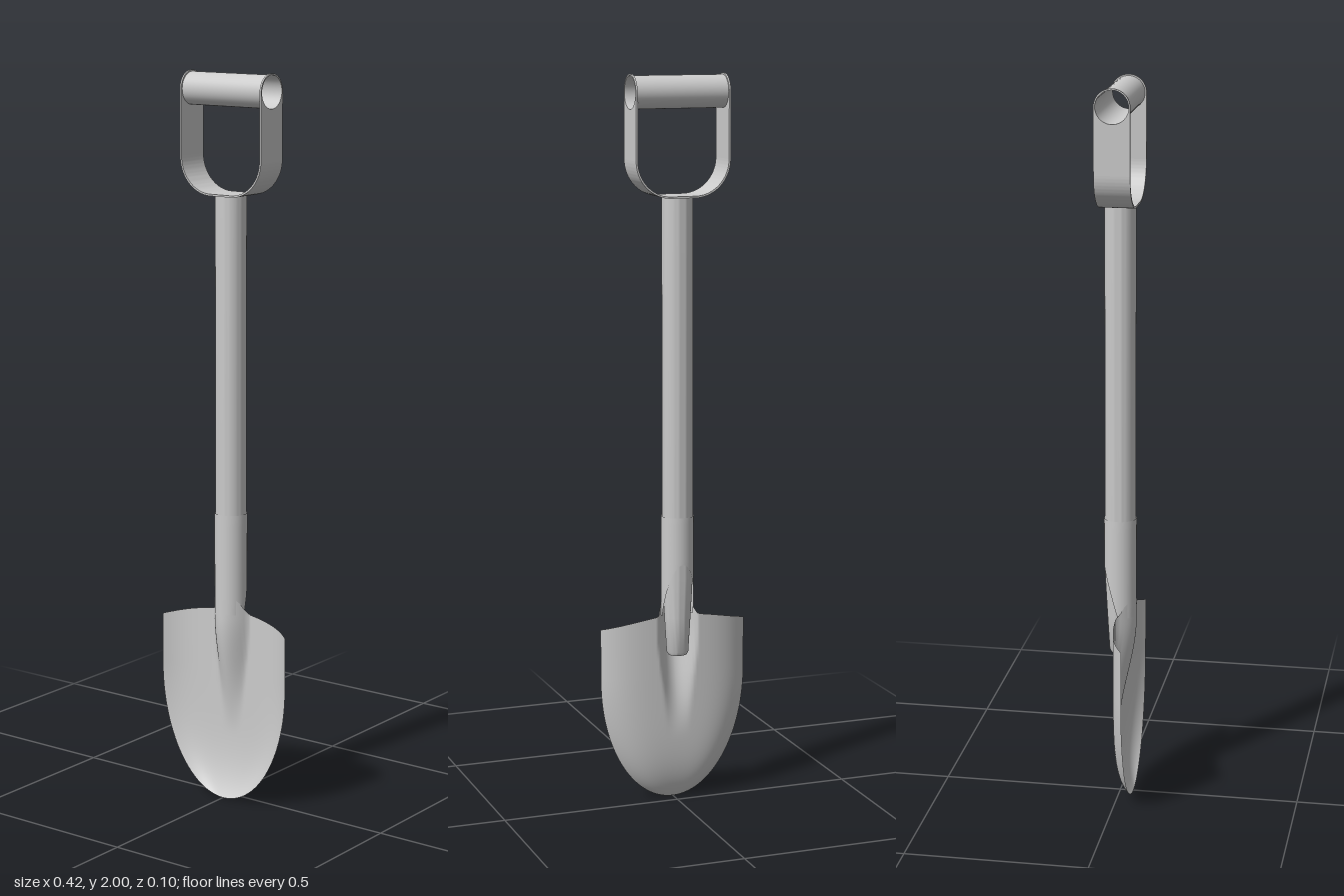
import * as THREE from 'three';
import { toCreasedNormals } from 'three/addons/utils/BufferGeometryUtils.js';

const grey = new THREE.MeshStandardMaterial({ color: 0xcccccc });
const thin = new THREE.MeshStandardMaterial({ color: 0xcccccc, side: THREE.DoubleSide });
const { smoothstep, lerp, clamp } = THREE.MathUtils;

const GRIP_Y = 1.952, STRAP_R = 0.048, STRAP_X = 0.133, STRAP_T = 0.005;
const BEND_R = 0.1, STRAP_BOTTOM = 1.675;

function add(group, name, geometry, material = grey) {
  const mesh = new THREE.Mesh(geometry, material);
  mesh.name = name;
  group.add(mesh);
  return mesh;
}

// Flat strap side: rounded top with a hole for the grip
function strapSide() {
  const s = new THREE.Shape();
  s.moveTo(-STRAP_R, STRAP_BOTTOM + BEND_R);
  s.lineTo(STRAP_R, STRAP_BOTTOM + BEND_R);
  s.lineTo(STRAP_R, GRIP_Y);
  s.absarc(0, GRIP_Y, STRAP_R, 0, Math.PI, false);
  s.closePath();
  const hole = new THREE.Path();
  hole.absarc(0, GRIP_Y, 0.044, 0, Math.PI * 2, true);
  s.holes.push(hole);
  const g = new THREE.ExtrudeGeometry(s, { depth: STRAP_T, bevelEnabled: false, curveSegments: 24 });
  g.translate(0, 0, -STRAP_T / 2).rotateY(Math.PI / 2);
  return toCreasedNormals(g, 0.6);
}

// U-shaped bottom of the strap
function strapBend() {
  const y = STRAP_BOTTOM + BEND_R, c = STRAP_X - BEND_R, r = BEND_R - STRAP_T;
  const s = new THREE.Shape();
  s.moveTo(-STRAP_X, y);
  s.absarc(-c, y, BEND_R, Math.PI, Math.PI * 1.5, false);
  s.absarc(c, y, BEND_R, Math.PI * 1.5, Math.PI * 2, false);
  s.absarc(c, y, r, 0, -Math.PI / 2, true);
  s.absarc(-c, y, r, -Math.PI / 2, -Math.PI, true);
  s.closePath();
  const g = new THREE.ExtrudeGeometry(s, { depth: STRAP_R * 2, bevelEnabled: false, curveSegments: 16 });
  g.translate(0, 0, -STRAP_R);
  return toCreasedNormals(g, 0.6);
}

// Steel socket, its lower rim cut back at the rear so the shaft end shows
function socket() {
  const r = 0.0445;
  const g = new THREE.CylinderGeometry(r, r, 1, 40, 8, true);
  const p = g.attributes.position;
  for (let i = 0; i < p.count; i++) {
    const bottom = 0.53 + 0.15 * Math.max(0, -p.getZ(i) / r);
    p.setY(i, lerp(bottom, 0.81, p.getY(i) + 0.5));
  }
  g.computeVertexNormals();
  return g;
}

// Dished blade, with a front ridge that runs out of the socket and fades
function blade() {
  const cols = 56, rows = 48, W = 0.21, MID = 0.35;
  const g = new THREE.PlaneGeometry(2, 1, cols, rows);
  const p = g.attributes.position;
  for (let i = 0; i < p.count; i++) {
    const s = p.getX(i);
    const t = 0.5 - p.getY(i);
    let x = Math.sign(s) * Math.abs(s) ** 1.4;
    const across = Math.abs(x);
    let y, half = W;
    if (t > 0.4) {
      // Rounded point: half an ellipse
      const a = (t - 0.4) / 0.6 * Math.PI / 2;
      y = MID * (1 - Math.sin(a));
      half = Math.max(W * Math.cos(a), 0.0005);
      x *= half;
    } else {
      // Upper part, rising from the shoulders to the socket
      x *= W;
      const top = 0.497 + 0.037 * (1 - across ** 1.6)
        + 0.04 * (1 - smoothstep(Math.abs(x), 0.036, 0.06));
      y = lerp(top, MID, t / 0.4);
    }
    const low = clamp((0.4 - y) / 0.4, 0, 1);
    const dish = 1 - (1 - across ** 4) * (1 - low ** 6);
    let z = -0.005 + 0.042 * dish;
    const rise = smoothstep(y, 0.18, 0.52);
    const width = lerp(0.035, 0.056, rise);
    const u = clamp(Math.abs(x) / width, 0, 1);
    z += 0.05 * rise * (1 - u * u) ** lerp(1.6, 0.9, rise);
    p.setXYZ(i, x, y, z);
  }
  g.computeVertexNormals();
  return g;
}

export function createModel() {
  const model = new THREE.Group();
  model.name = 'shovel';

  // Handle
  const handle = new THREE.Group();
  handle.name = 'handle';
  model.add(handle);
  const grip = new THREE.CylinderGeometry(0.044, 0.044, STRAP_X * 2, 40, 1, true);
  grip.rotateZ(Math.PI / 2).translate(0, GRIP_Y, 0);
  add(handle, 'grip', grip, thin);
  for (const side of [-1, 1]) {
    add(handle, side > 0 ? 'leftStrap' : 'rightStrap', strapSide())
      .position.x = side * (STRAP_X - STRAP_T / 2);
  }
  add(handle, 'strapBend', strapBend());

  // Shaft, tapering to a blunt end behind the blade
  const profile = [[0, 0.42], [0.026, 0.42], [0.03, 0.428], [0.036, 0.53],
    [0.042, 0.64], [0.042, 1.678], [0, 1.678]].map(([r, y]) => new THREE.Vector2(r, y));
  add(model, 'shaft', toCreasedNormals(new THREE.LatheGeometry(profile, 40), 0.6));

  add(model, 'socket', socket(), thin);
  add(model, 'blade', blade(), thin);
  return model;
}
